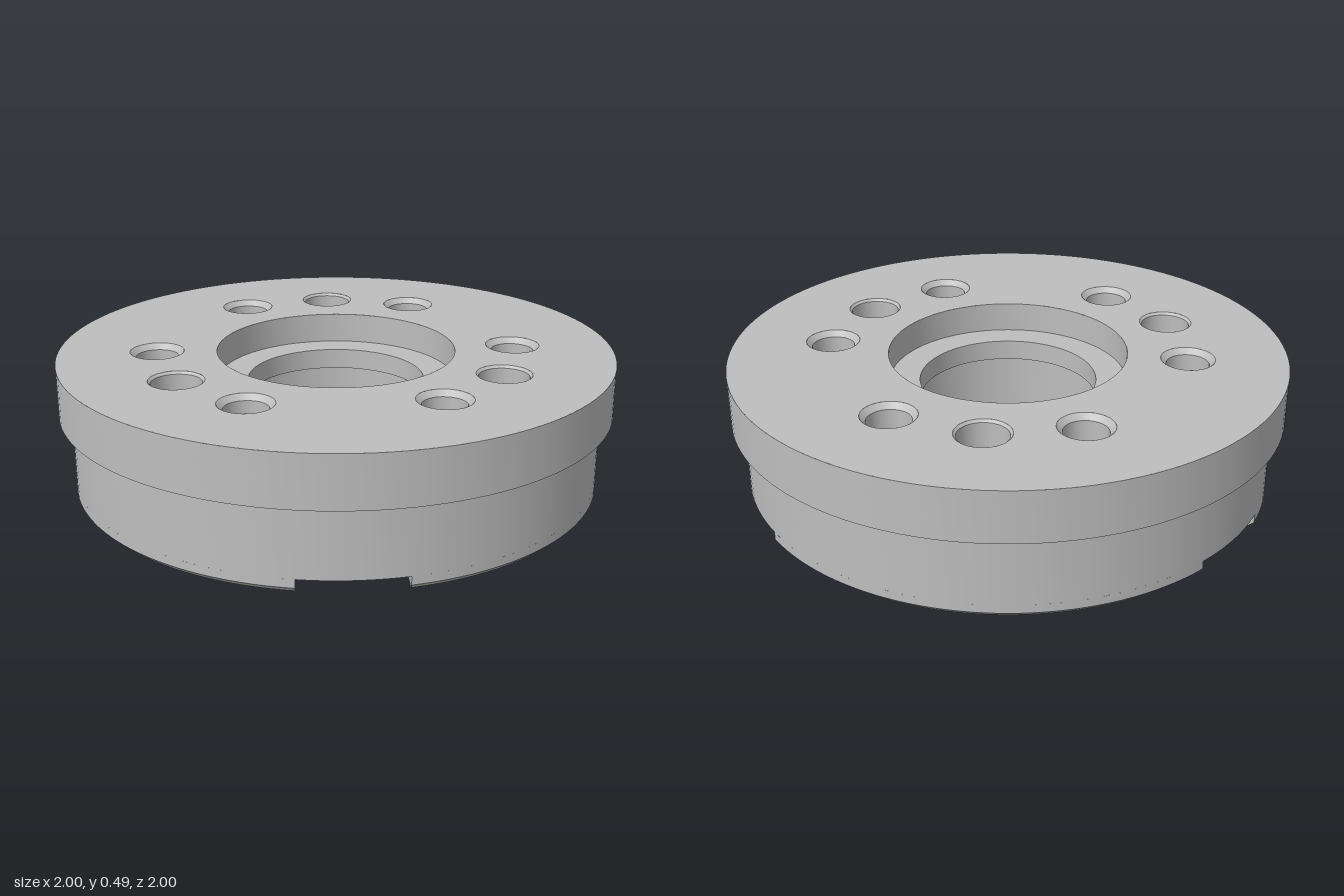
import * as THREE from 'three';
import { toCreasedNormals } from 'three/addons/utils/BufferGeometryUtils.js';

const TOP = 0.49;          // upper face
const FLOOR = 0.05;        // pocket depth
const PITCH = 0.645;       // bolt circle radius
const THIRD = (Math.PI * 2) / 3;
const POCKET_HALF = 0.18;
const POCKET_PATH = [[0.71, -0.18], [0.61, -0.1], [0.61, 0.1], [0.71, 0.18]];

const halfAngle = (r) => Math.asin(POCKET_HALF / r);

export function createModel() {
  const model = new THREE.Group();
  const steel = new THREE.MeshStandardMaterial({ color: 0xbebebe, side: THREE.DoubleSide });
  steel.name = 'steel grey';

  const add = (name, geometry, parent = model) => {
    const mesh = new THREE.Mesh(geometry, steel);
    mesh.name = name;
    parent.add(mesh);
    return mesh;
  };

  // Turned surface with sharp edges
  const turned = (profile, segments) => toCreasedNormals(
    new THREE.LatheGeometry(profile.map(([r, y]) => new THREE.Vector2(r, y)), segments), 0.4);

  // Turned hole on a circle of the given radius
  const hole = (name, profile, radius, angle, parent) => {
    const mesh = add(name, turned(profile, 40), parent);
    mesh.position.set(radius * Math.cos(angle), 0, radius * Math.sin(angle));
  };

  const circle = (r, radius = 0, angle = 0) => new THREE.Path().absarc(
    radius * Math.cos(angle), radius * Math.sin(angle), r, 0, Math.PI * 2, true);

  // Horizontal face, looking up or down
  const flat = (shape, y, up) => new THREE.ShapeGeometry(shape, 60)
    .rotateX(up ? -Math.PI / 2 : Math.PI / 2).translate(0, y, 0);

  // Surface between successive rows of points, upper row first
  const strip = (rows) => {
    const out = [];
    for (let j = 0; j < rows.length - 1; j++) {
      const a = rows[j], b = rows[j + 1];
      for (let i = 0; i < a.length - 1; i++) {
        out.push(...a[i], ...a[i + 1], ...b[i + 1], ...a[i], ...b[i + 1], ...b[i]);
      }
    }
    const geometry = new THREE.BufferGeometry();
    geometry.setAttribute('position', new THREE.Float32BufferAttribute(out, 3));
    geometry.computeVertexNormals();
    return toCreasedNormals(geometry, 0.4);
  };

  // Body wall and flange
  add('outerWall', turned([[0.955, FLOOR], [0.955, 0.305], [1, 0.305], [1, TOP]], 128));

  // Centre bore, recessed from both sides of an inner web
  add('centreBore', turned([[0.43, TOP], [0.43, 0.38], [0.32, 0.38], [0.32, 0.305],
    [0.39, 0.305], [0.39, 0.027], [0.417, 0]], 96));

  const topShape = new THREE.Shape().absarc(0, 0, 1, 0, Math.PI * 2, false);
  topShape.holes.push(circle(0.43));
  const bottomShape = new THREE.Shape();

  // Six blind threaded holes from above
  for (let i = 0; i < 6; i++) {
    const angle = Math.PI / 6 + (i * Math.PI) / 3;
    topShape.holes.push(circle(0.097, PITCH, angle));
    hole('blindHole', [[0.097, TOP], [0.077, 0.47], [0.077, 0.2], [0, 0.156]], PITCH, angle);
  }

  for (let k = 0; k < 3; k++) {
    // Through holes, counterbored from below
    const boltAngle = Math.PI / 3 + k * THIRD;
    topShape.holes.push(circle(0.097, PITCH, boltAngle));
    bottomShape.holes.push(circle(0.163, PITCH, boltAngle));
    hole('throughHole', [[0.097, TOP], [0.088, 0.481], [0.088, 0.25], [0.152, 0.25],
      [0.152, 0.011], [0.163, 0]], PITCH, boltAngle);

    // Bottom outline: a rim arc, then the notch of the next pocket
    const start = k * THIRD, end = start + THIRD;
    bottomShape.absarc(0, 0, 0.935, start + halfAngle(0.935), end - halfAngle(0.935), false);
    for (const [r, t] of POCKET_PATH) {
      bottomShape.lineTo(r * Math.cos(end) - t * Math.sin(end), r * Math.sin(end) + t * Math.cos(end));
    }

    // Chamfered lower rim between two pockets
    add('lowerRim', strip([[0.955, FLOOR], [0.955, 0.02], [0.935, 0]].map(([r, y]) =>
      Array.from({ length: 41 }, (_, i) => {
        const a = start + halfAngle(r) + ((THIRD - 2 * halfAngle(r)) * i) / 40;
        return [r * Math.cos(a), y, r * Math.sin(a)];
      }))));

    // Edge pocket with a blind hole in its floor
    const pocket = new THREE.Group();
    pocket.name = 'edgePocket';
    pocket.rotation.y = -start;
    model.add(pocket);

    const floor = new THREE.Shape().absarc(0, 0, 0.955, -halfAngle(0.955), halfAngle(0.955), false);
    [...POCKET_PATH].reverse().forEach(([r, t]) => floor.lineTo(r, t));
    floor.holes.push(circle(0.1, 0.82));
    add('pocketFloor', flat(floor, FLOOR, false), pocket);
    add('pocketBackWall', strip([FLOOR, 0].map((y) => POCKET_PATH.map(([r, t]) => [r, y, t]))), pocket);

    const side = new THREE.Shape([[0.71, 0], [0.9175, 0], [0.938, 0.02], [0.938, FLOOR], [0.71, FLOOR]]
      .map(([x, y]) => new THREE.Vector2(x, y)));
    for (const z of [-POCKET_HALF, POCKET_HALF]) {
      add('pocketSideWall', new THREE.ShapeGeometry(side), pocket).position.z = z;
    }
    hole('pocketHole', [[0, 0.32], [0.085, 0.27], [0.085, 0.065], [0.1, FLOOR]], 0.82, 0, pocket);
  }

  bottomShape.holes.push(circle(0.417));
  add('topFace', flat(topShape, TOP, true));
  add('bottomFace', flat(bottomShape, 0, false));
  return model;
}
